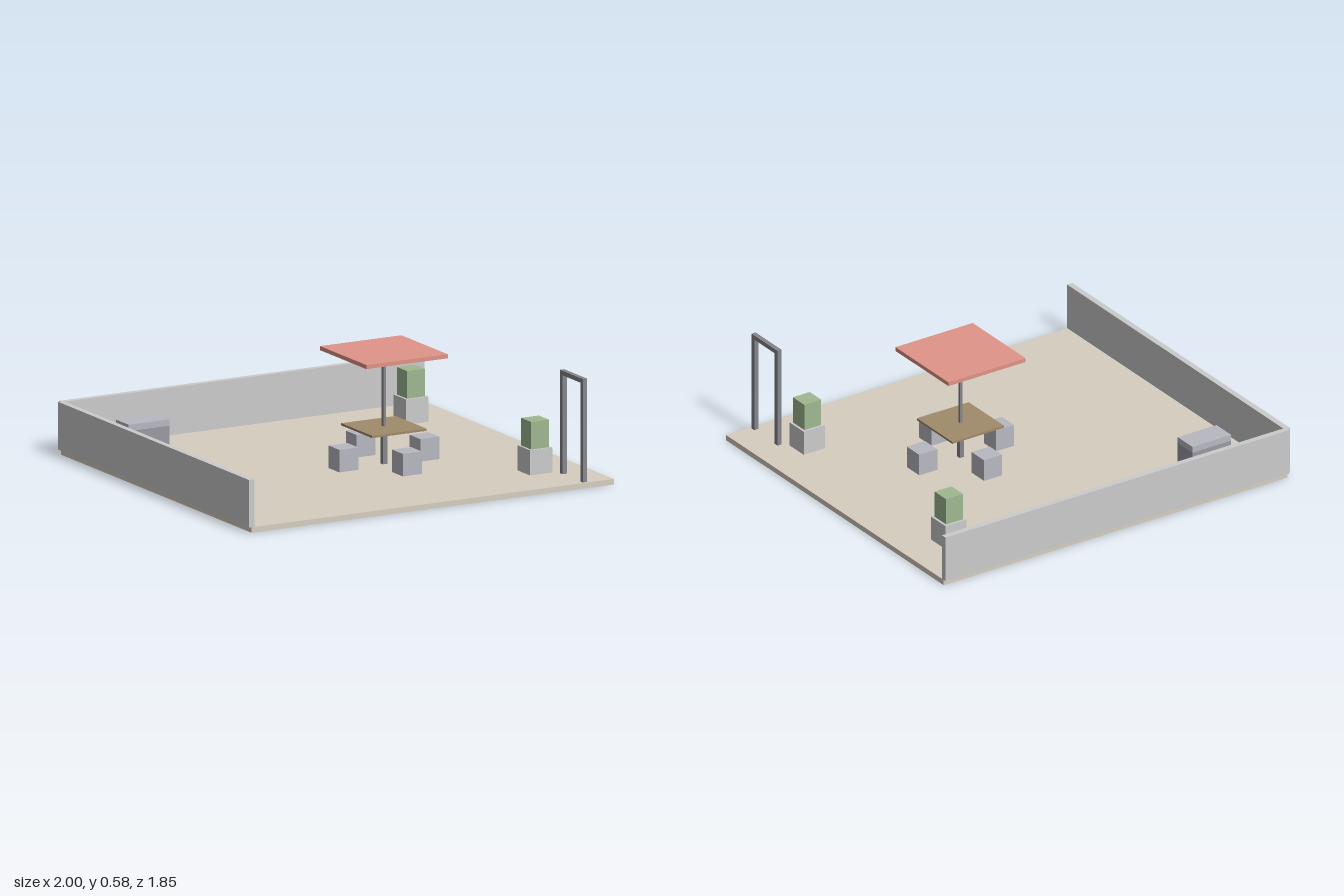
import * as THREE from 'three';

const material = (color) => new THREE.MeshStandardMaterial({ color });
const grey = material(0xcccccc);
const stone = material(0xd6cec0);
const steel = material(0x85858c);
const slate = material(0x9a9aa4);
const lidGrey = material(0xb8b8c2);
const wood = material(0xa08a6a);
const leaf = material(0xa0b890);
const coral = material(0xe09488);

const GROUND = 0.027; // top of the paving

// Box given by its extents along each axis
function block(parent, name, mat, [x0, x1], [y0, y1], [z0, z1]) {
  const mesh = new THREE.Mesh(new THREE.BoxGeometry(x1 - x0, y1 - y0, z1 - z0), mat);
  mesh.position.set((x0 + x1) / 2, (y0 + y1) / 2, (z0 + z1) / 2);
  mesh.name = name;
  parent.add(mesh);
  return mesh;
}

// Square-section box standing between two heights
function post(parent, name, mat, x, z, width, y0, y1) {
  const h = width / 2;
  return block(parent, name, mat, [x - h, x + h], [y0, y1], [z - h, z + h]);
}

function group(parent, name) {
  const g = new THREE.Group();
  g.name = name;
  parent.add(g);
  return g;
}

export function createModel() {
  const patio = new THREE.Group();
  patio.name = 'patio';

  // Paving and the two boundary walls
  block(patio, 'paving', stone, [-0.985, 1], [0, GROUND], [-0.91, 0.925]);
  block(patio, 'backWall', grey, [-0.985, 1], [GROUND, 0.26], [-0.925, -0.895]);
  block(patio, 'sideWall', grey, [-1, -0.97], [GROUND, 0.26], [-0.91, 0.925]);

  // Grill with lid
  const grill = group(patio, 'grill');
  block(grill, 'grillBody', slate, [-0.802, -0.578], [GROUND, 0.162], [-0.702, -0.578]);
  block(grill, 'grillLid', lidGrey, [-0.802, -0.578], [0.162, 0.193], [-0.702, -0.578]);

  // Table with parasol
  const cx = 0.205, cz = 0.108;
  const table = group(patio, 'table');
  post(table, 'tableLeg', steel, cx, cz, 0.025, GROUND, 0.2);
  post(table, 'tableTop', wood, cx, cz, 0.298, 0.2, 0.211);
  post(table, 'parasolPole', steel, cx, cz, 0.015, 0.211, 0.562);
  post(table, 'parasolCanopy', coral, cx, cz, 0.446, 0.562, 0.582);

  // Four stools around the table
  for (const [dx, dz] of [[1, 0], [-1, 0], [0, 1], [0, -1]]) {
    post(patio, 'stool', lidGrey, cx + dx * 0.222, cz + dz * 0.222, 0.104, GROUND, 0.137);
  }

  // Planters with clipped shrubs
  for (const z of [0.605, -0.588]) {
    const planter = group(patio, 'planter');
    post(planter, 'planterBox', grey, 0.75, z, 0.122, GROUND, 0.15);
    post(planter, 'shrub', leaf, 0.75, z, 0.097, 0.15, 0.285);
  }

  // Gate frame
  const gate = group(patio, 'gateFrame');
  for (const z of [0.705, 0.901]) post(gate, 'gatePost', steel, 0.848, z, 0.024, GROUND, 0.511);
  block(gate, 'gateBeam', steel, [0.836, 0.86], [0.511, 0.533], [0.693, 0.913]);

  return patio;
}
